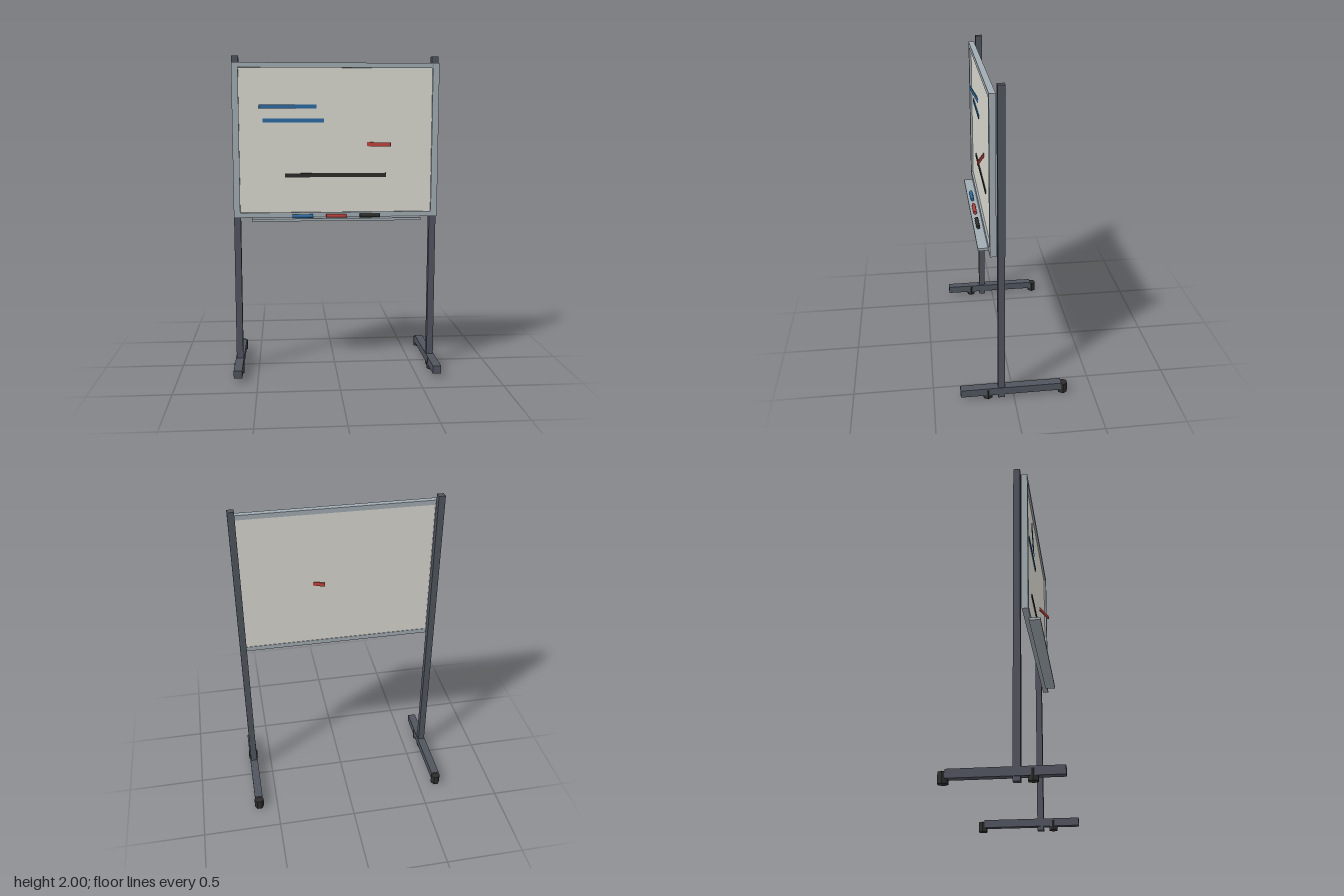
import * as THREE from 'three';

const mat = (name, color) => {
  const m = new THREE.MeshStandardMaterial({ color });
  m.name = name;
  return m;
};

export function createModel() {
  const root = new THREE.Group();
  root.name = 'whiteboardStand';
  const steel = mat('dark steel', 0x50545e);
  const aluminium = mat('aluminium', 0xa1acb3);
  const white = mat('board white', 0xd9d7cf);
  const blue = mat('blue ink', 0x2d6ca3);
  const red = mat('red ink', 0xb5403a);
  const black = mat('black ink', 0x2b2c29);
  const rubber = mat('caster rubber', 0x2d2d2e);

  const add = (name, geometry, material, x, y, z) => {
    const mesh = new THREE.Mesh(geometry, material);
    mesh.name = name;
    mesh.position.set(x, y, z);
    root.add(mesh);
    return mesh;
  };
  const box = (name, material, w, h, d, x, y, z) =>
    add(name, new THREE.BoxGeometry(w, h, d), material, x, y, z);

  // Uprights, feet and hexagonal casters, mirrored left and right
  const caster = new THREE.CylinderGeometry(0.031, 0.031, 0.065, 6, 1, false, Math.PI / 2).toNonIndexed();
  caster.computeVertexNormals();
  for (const [side, s] of [['left', 1], ['right', -1]]) {
    box(side + 'Post', steel, 0.042, 2, 0.042, s * 0.622, 1, 0.078);
    box(side + 'Foot', steel, 0.052, 0.05, 0.633, s * 0.622, 0.051, 0.017);
    add(side + 'FrontCaster', caster, rubber, s * 0.622, 0.0325, 0.163);
    add(side + 'BackCaster', caster, rubber, s * 0.622, 0.0325, -0.312);
    box(side + 'FrameBar', aluminium, 0.04, 0.954, 0.037, s * 0.621, 1.479, 0.126);
  }

  // Writing panel and horizontal frame bars
  box('panel', white, 1.22, 0.92, 0.02, 0, 1.479, 0.121);
  box('topFrameBar', aluminium, 1.264, 0.03, 0.0365, 0, 1.941, 0.126);
  box('bottomFrameBar', aluminium, 1.264, 0.03, 0.0365, 0, 1.017, 0.126);

  // Pen tray with three markers
  box('penTray', aluminium, 1.052, 0.016, 0.068, 0, 0.993, 0.169);
  const marker = new THREE.CylinderGeometry(0.0115, 0.0115, 0.128, 8).rotateZ(Math.PI / 2);
  [[blue, 'blueMarker'], [red, 'redMarker'], [black, 'blackMarker']].forEach(([m, name], i) =>
    add(name, marker, m, -0.211 + i * 0.21, 1.013, 0.176));

  // Drawn strokes; two of them tilt out of the panel
  const stroke = (name, m, length, x, y, z, turn) => {
    box(name, m, length, 0.025, 0.006, x, y, z).rotation.y = turn;
  };
  stroke('upperBlueStroke', blue, 0.54, -0.207, 1.689, 0.134, 0.07);
  stroke('lowerBlueStroke', blue, 0.38, -0.266, 1.605, 0.133, 0);
  stroke('blackStroke', black, 0.635, -0.002, 1.265, 0.133, 0);
  stroke('redStroke', red, 0.271, 0.209, 1.457, 0.134, -0.354);

  return root;
}
